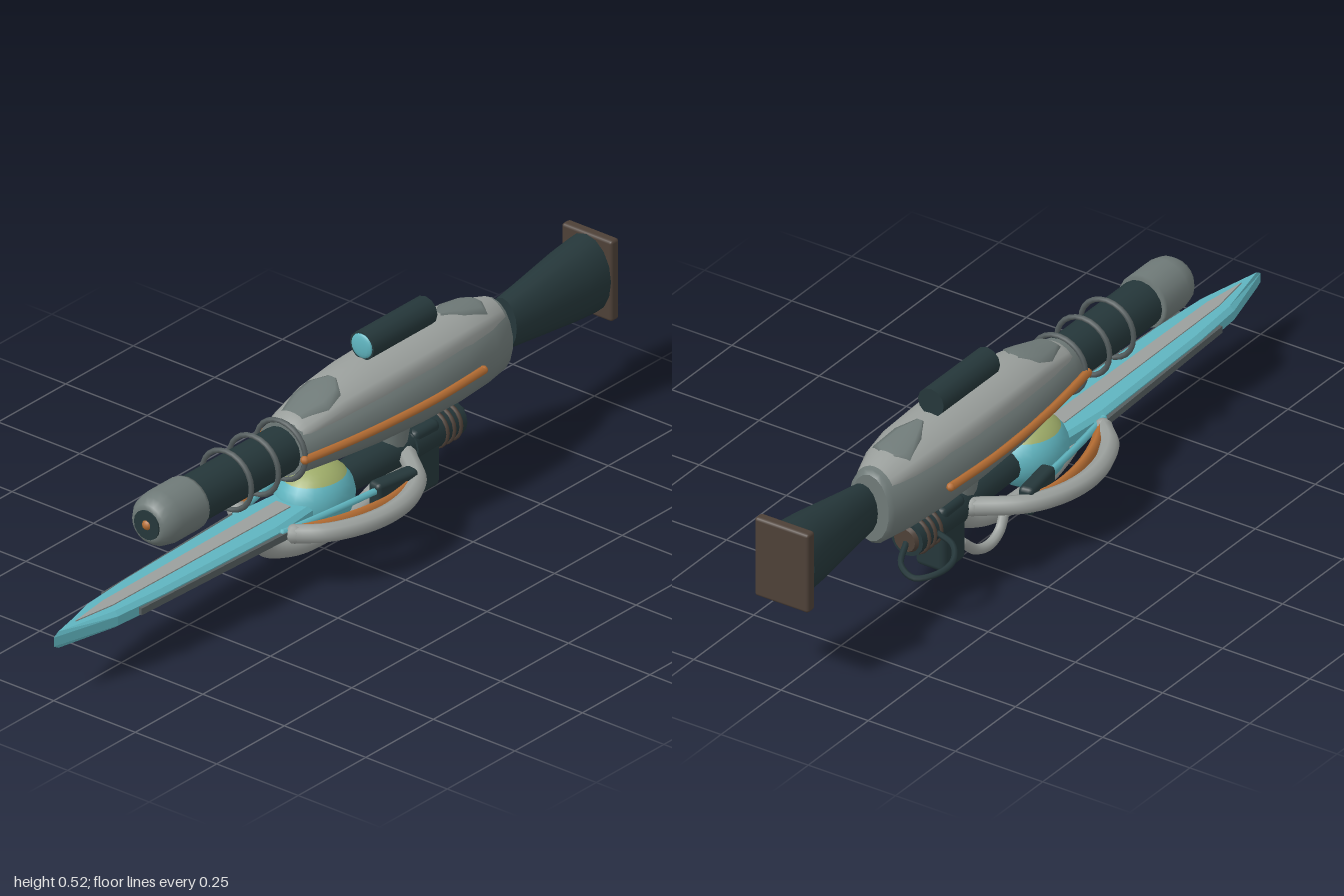
import * as THREE from 'three';
import { RoundedBoxGeometry } from 'three/addons/geometries/RoundedBoxGeometry.js';

const mat = (name, color) => {
  const m = new THREE.MeshStandardMaterial({ color });
  m.name = name;
  return m;
};

// Skin through elliptical sections [z, rx, ry, cy], front to back.
// half < PI gives an open arc over the top whose edges tuck inwards;
// a section's fifth value can narrow its arc.
function loft(sections, sides, half = Math.PI) {
  const closed = half === Math.PI, pos = [], idx = [];
  const cols = closed ? sides : sides + 1;
  for (const [z, rx, ry, cy, h = half] of sections) {
    for (let j = 0; j < cols; j++) {
      const a = -h + (2 * h * j) / sides;
      const k = !closed && (j === 0 || j === sides) ? 0.86 : 1;
      pos.push(rx * k * Math.sin(a), cy + ry * k * Math.cos(a), z);
    }
  }
  for (let i = 0; i < sections.length - 1; i++) {
    for (let j = 0; j < sides; j++) {
      const a = i * cols + j, b = i * cols + (j + 1) % cols;
      idx.push(a, b, a + cols, b, b + cols, a + cols);
    }
  }
  if (closed) {
    for (const end of [0, sections.length - 1]) {
      const [z, rx, ry, cy] = sections[end], c = pos.length / 3;
      pos.push(0, cy, z);
      for (let j = 0; j < sides; j++) {
        const a = -Math.PI + (2 * Math.PI * j) / sides;
        pos.push(rx * Math.sin(a), cy + ry * Math.cos(a), z);
      }
      for (let j = 0; j < sides; j++) {
        const p = c + 1 + j, q = c + 1 + (j + 1) % sides;
        if (end === 0) idx.push(c, q, p); else idx.push(c, p, q);
      }
    }
  }
  const g = new THREE.BufferGeometry();
  g.setAttribute('position', new THREE.Float32BufferAttribute(pos, 3));
  g.setIndex(idx);
  g.computeVertexNormals();
  return g;
}

export function createModel() {
  const group = new THREE.Group();
  group.name = 'energyRifle';
  const body = mat('bodyGrey', 0x6f7a78), light = mat('lightGrey', 0x9a9f9c);
  const dark = mat('darkTeal', 0x25373a), cyan = mat('cyan', 0x5fb4bf);
  const orange = mat('orange', 0xb56d33), brown = mat('brown', 0x4d4037);
  const green = mat('yellowGreen', 0x9dab68), steel = mat('steel', 0x555e5f);
  light.side = body.side = THREE.DoubleSide;

  const add = (name, geo, m, x = 0, y = 0, z = 0) => {
    const mesh = new THREE.Mesh(geo, m);
    mesh.name = name;
    mesh.position.set(x, y, z);
    group.add(mesh);
    return mesh;
  };
  const cylinderZ = (name, r1, r2, z1, z2, y, m, sides = 16) => {
    const geo = new THREE.CylinderGeometry(r1, r2, z1 - z2, sides).rotateX(Math.PI / 2);
    return add(name, geo, m, 0, y, (z1 + z2) / 2);
  };
  const tube = (name, pts, r, m, sides = 8) => {
    const curve = new THREE.CatmullRomCurve3(pts.map(p => new THREE.Vector3(...p)));
    const mesh = add(name, new THREE.TubeGeometry(curve, 32, r, sides), m);
    // rounded ends
    for (const p of [pts[0], pts[pts.length - 1]]) {
      add(name + 'End', new THREE.SphereGeometry(r, 8, 6), m, ...p);
    }
    return mesh;
  };

  // Main hull
  add('hull', loft([
    [0.16, 0.068, 0.068, 0.33], [0.13, 0.076, 0.072, 0.33], [0.02, 0.092, 0.083, 0.33],
    [-0.12, 0.107, 0.095, 0.33], [-0.28, 0.113, 0.105, 0.33], [-0.42, 0.108, 0.11, 0.33],
    [-0.54, 0.09, 0.106, 0.325], [-0.62, 0.066, 0.1, 0.32], [-0.63, 0.055, 0.09, 0.32],
  ], 18), body);

  // Upper armour shell with worn patches
  add('topShell', loft([
    [0.15, 0.066, 0.066, 0.33], [0.12, 0.08, 0.082, 0.33], [0.0, 0.104, 0.112, 0.33],
    [-0.12, 0.117, 0.122, 0.33], [-0.3, 0.123, 0.127, 0.33], [-0.45, 0.115, 0.125, 0.33],
    [-0.54, 0.097, 0.115, 0.328], [-0.61, 0.068, 0.102, 0.322],
  ], 12, 1.0), light);
  add('frontWornPatch', loft([
    [0.12, 0.083, 0.084, 0.33, 0.5], [0.05, 0.098, 0.103, 0.33, 0.8],
    [0.0, 0.107, 0.115, 0.33, 0.65], [-0.03, 0.111, 0.118, 0.33, 0.15],
  ], 8, 0.8), body);
  add('rearWornPatch', loft([
    [-0.42, 0.12, 0.13, 0.33, 0.1], [-0.47, 0.113, 0.126, 0.33, 0.45],
    [-0.54, 0.099, 0.118, 0.328, 0.75], [-0.56, 0.091, 0.114, 0.327, 0.3],
  ], 8, 0.8), body);

  // Barrel, rings and muzzle
  cylinderZ('barrel', 0.06, 0.06, 0.51, 0.12, 0.33, dark);
  for (const z of [0.36, 0.26, 0.16]) {
    add('barrelRing', new THREE.TorusGeometry(0.076, 0.007, 6, 24), steel, 0, 0.33, z);
  }
  const muzzle = [[0, 0], [0.066, 0], [0.069, 0.01], [0.069, 0.1], [0.063, 0.13], [0.05, 0.148], [0.038, 0.152], [0, 0.152]];
  add('muzzle', new THREE.LatheGeometry(muzzle.map(p => new THREE.Vector2(...p)), 20).rotateX(Math.PI / 2),
    body, 0, 0.33, 0.502);
  cylinderZ('muzzleBore', 0.038, 0.038, 0.658, 0.65, 0.33, dark);
  add('muzzleCore', new THREE.SphereGeometry(0.014, 12, 8), orange, 0, 0.33, 0.652);

  // Scope
  cylinderZ('scope', 0.037, 0.037, -0.14, -0.375, 0.485, dark, 12);
  const lens = add('scopeLens', new THREE.SphereGeometry(0.032, 14, 10), cyan, 0, 0.485, -0.14);
  lens.scale.z = 0.25;

  // Stock and butt plate
  add('stock', loft([
    [-0.66, 0.044, 0.068, 0.333], [-0.74, 0.052, 0.078, 0.335],
    [-0.9, 0.071, 0.098, 0.34], [-0.97, 0.076, 0.104, 0.342],
  ], 16), dark);
  add('buttPlate', new RoundedBoxGeometry(0.155, 0.215, 0.03, 2, 0.008), brown, 0, 0.342, -0.985);

  // Blade
  const outline = [[0, 1], [0.048, 0.82], [0.06, 0.66], [0.072, 0.25], [0.055, 0.05]];
  const shape = new THREE.Shape([...outline, ...outline.slice(1).reverse().map(([x, z]) => [-x, z])]
    .map(p => new THREE.Vector2(...p)));
  add('blade', new THREE.ExtrudeGeometry(shape, {
    depth: 0.024, bevelThickness: 0.01, bevelSize: 0.012, bevelOffset: -0.012, bevelSegments: 1,
  }).rotateX(Math.PI / 2), cyan, 0, 0.169, 0);
  const inlay = new THREE.Shape([[0, 0.92], [0.016, 0.8], [0.022, 0.15], [-0.022, 0.15], [-0.016, 0.8]]
    .map(p => new THREE.Vector2(...p)));
  for (const y of [0.182, 0.138]) {
    add('bladeInlay', new THREE.ExtrudeGeometry(inlay, { depth: 0.006, bevelEnabled: false })
      .rotateX(Math.PI / 2), light, 0, y, 0);
  }

  // Energy core with green cap
  const core = add('core', new THREE.SphereGeometry(0.09, 24, 12, 0, Math.PI * 2, 0.9, Math.PI - 0.9), cyan, 0, 0.16, 0.035);
  const cap = add('coreCap', new THREE.SphereGeometry(0.09, 24, 6, 0, Math.PI * 2, 0, 0.9), green, 0, 0.16, 0.035);
  core.scale.z = cap.scale.z = 1.2;

  // Mirrored side parts
  for (const s of [-1, 1]) {
    const mirror = pts => pts.map(([x, y, z]) => [s * x, y, z]);
    tube('hullStripe', mirror([[0.078, 0.33, 0.165], [0.1, 0.33, 0.02], [0.113, 0.33, -0.12],
      [0.119, 0.33, -0.28], [0.112, 0.33, -0.455]]), 0.011, orange, 6);
    tube('sideTube', mirror([[0.088, 0.157, 0.215], [0.14, 0.157, 0.165], [0.18, 0.157, 0.08], [0.193, 0.157, -0.01],
      [0.178, 0.157, -0.1], [0.135, 0.157, -0.18], [0.04, 0.157, -0.26]]), 0.024, light);
    const band = tube('innerBand', mirror([[0.085, 0.157, 0.21], [0.125, 0.157, 0.12], [0.15, 0.157, 0.02],
      [0.155, 0.157, -0.08], [0.135, 0.157, -0.17]]), 0.014, orange, 6);
    band.scale.y = 1.4;
    band.position.y = -0.4 * 0.157;
    tube('coreLine', mirror([[0.072, 0.165, 0.24], [0.1, 0.17, 0.08], [0.122, 0.175, -0.08]]), 0.009, cyan, 6);
    const pod = add('sidePod', new RoundedBoxGeometry(0.04, 0.075, 0.13, 2, 0.012), dark, s * 0.122, 0.157, -0.11);
    pod.rotation.y = s * -0.15;
    const rail = add('bladeRail', new THREE.BoxGeometry(0.014, 0.018, 0.53), steel, s * 0.066, 0.157, 0.485);
    rail.rotation.y = s * -0.04;
  }

  // Lower mechanism
  cylinderZ('coreShaft', 0.04, 0.045, 0, -0.3, 0.16, dark, 12);
  add('pylon', new THREE.CylinderGeometry(0.05, 0.035, 0.09, 12), body, 0, 0.215, -0.25);
  add('gripBlock', new RoundedBoxGeometry(0.086, 0.175, 0.095, 2, 0.015), dark, 0, 0.117, -0.335);
  cylinderZ('rearMotor', 0.05, 0.046, -0.29, -0.475, 0.16, dark);
  for (const z of [-0.4, -0.425, -0.45]) {
    add('motorBand', new THREE.TorusGeometry(0.047, 0.006, 6, 20), brown, 0, 0.16, z);
  }
  cylinderZ('motorCap', 0.038, 0.03, -0.47, -0.485, 0.16, brown);

  // Hoses
  tube('lowerTube', [[0, 0.145, 0.265], [0, 0.09, 0.215], [0, 0.052, 0.12], [0, 0.041, 0.02],
    [0, 0.05, -0.1], [0, 0.08, -0.2], [0, 0.13, -0.28]], 0.023, light);
  tube('smallHose', [[-0.03, 0.07, -0.11], [-0.035, 0.03, -0.14], [-0.036, 0.014, -0.18],
    [-0.035, 0.025, -0.235], [-0.03, 0.07, -0.29]], 0.013, light);
  tube('rearHose', [[0, 0.155, -0.475], [-0.035, 0.135, -0.55], [-0.085, 0.125, -0.567], [-0.128, 0.135, -0.53],
    [-0.135, 0.145, -0.48], [-0.1, 0.155, -0.43], [-0.04, 0.16, -0.41]], 0.008, dark, 6);

  return group;
}
